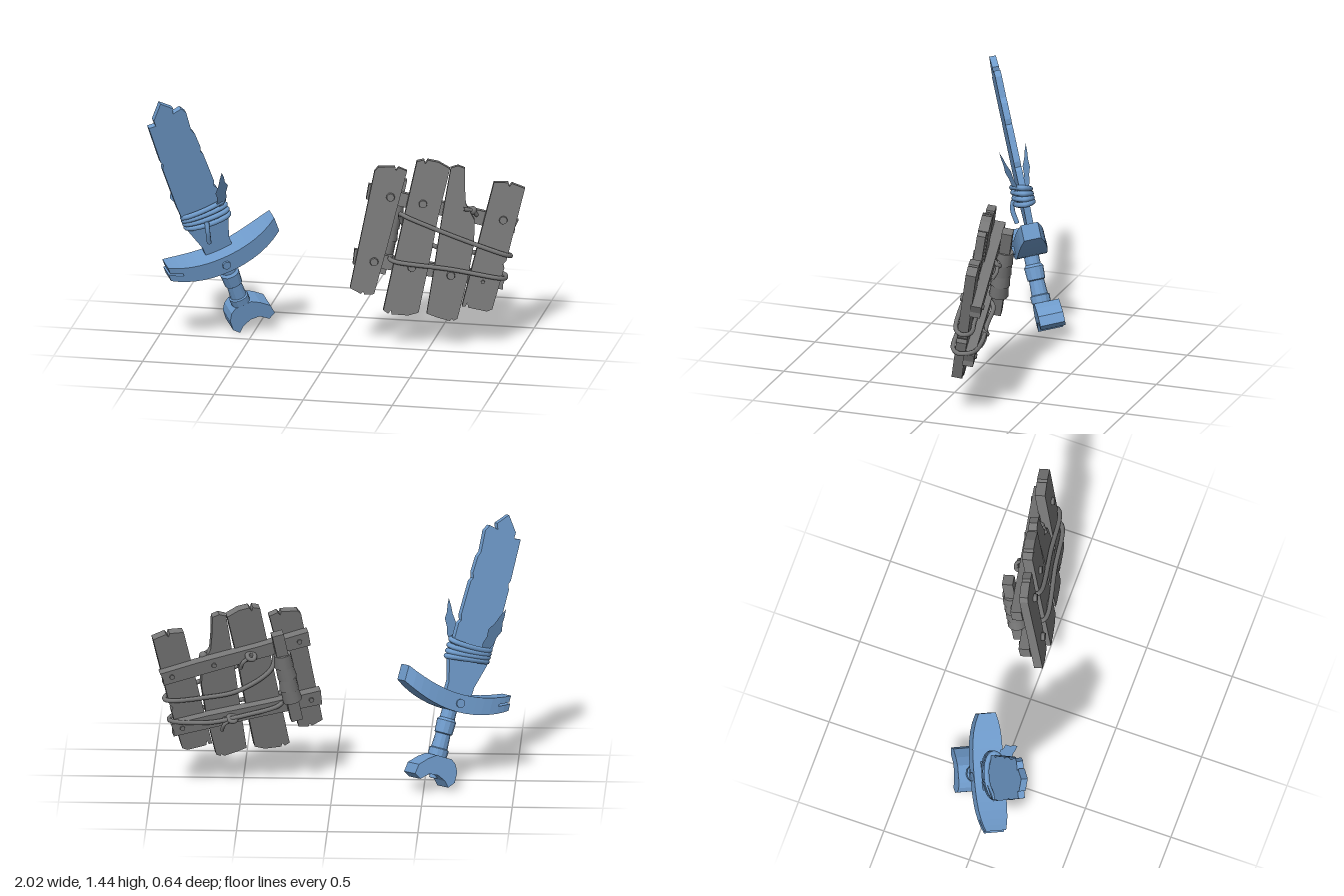
import * as THREE from 'three';

const blue = new THREE.MeshStandardMaterial({ color: 0x6f9bcb });
const blueThin = new THREE.MeshStandardMaterial({ color: 0x6f9bcb, side: THREE.DoubleSide });
const grey = new THREE.MeshStandardMaterial({ color: 0x777777 });

const V = (p) => new THREE.Vector3(...p);

// Group with its own axes: x across, y along, z out of the front face
function frame(name, origin, xAxis, yAxis) {
  const g = new THREE.Group();
  g.name = name;
  const y = V(yAxis).normalize();
  const z = V(xAxis).cross(y).normalize();
  const x = y.clone().cross(z);
  g.quaternion.setFromRotationMatrix(new THREE.Matrix4().makeBasis(x, y, z));
  g.position.set(...origin);
  return g;
}

function add(parent, name, geometry, material, pos = [0, 0, 0], rot = [0, 0, 0]) {
  const m = new THREE.Mesh(geometry, material);
  m.name = name;
  m.position.set(...pos);
  m.rotation.set(...rot);
  parent.add(m);
  return m;
}

// Flat outline extruded from z0 to z1
function slab(points, z0, z1) {
  const shape = new THREE.Shape(points.map(([x, y]) => new THREE.Vector2(x, y)));
  return new THREE.ExtrudeGeometry(shape, { depth: z1 - z0, bevelEnabled: false }).translate(0, 0, z0);
}

function rope(points, radius, closed = false) {
  const curve = new THREE.CatmullRomCurve3(points.map(V), closed, 'centripetal');
  return new THREE.TubeGeometry(curve, points.length * 8, radius, 8, closed);
}

// Flat-shaded geometry from positions and triangle corners
function faceted(pos, idx) {
  const g = new THREE.BufferGeometry();
  g.setAttribute('position', new THREE.Float32BufferAttribute(pos, 3));
  g.setIndex(idx);
  const flat = g.toNonIndexed();
  flat.computeVertexNormals();
  return flat;
}

// Torn leaf-like splinter: a strip from root to tip, spreading along the side direction
function splinter(root, tip, side, width) {
  const pos = [], idx = [], n = 6;
  const a = V(root), b = V(tip), s = V(side).normalize();
  for (let i = 0; i <= n; i++) {
    const t = i / n;
    const c = a.clone().lerp(b, t);
    const w = width * (0.4 + 0.6 * Math.sin(Math.PI * t)) * (1 - t ** 3) * (i % 2 ? 1 : 0.7);
    pos.push(...c.clone().addScaledVector(s, -w), ...c.addScaledVector(s, w));
    if (i) idx.push(2 * i - 2, 2 * i - 1, 2 * i, 2 * i - 1, 2 * i + 1, 2 * i);
  }
  return faceted(pos, idx);
}

// Curved bar with rectangular sections; low and high are fractions of the guard's height
function guardBar(x0, x1, low, high, n) {
  const pos = [], idx = [];
  for (let i = 0; i <= n; i++) {
    const x = x0 + ((x1 - x0) * i) / n;
    const base = -0.055 + 0.78 * x * x, h = 0.1 - 0.1 * x * x;
    const lo = base + low * h, hi = base + high * h;
    const d = 0.085 - 0.035 * (Math.abs(x) / 0.33) ** 4;
    pos.push(x, lo, d, x, lo, -d, x, hi, -d, x, hi, d);
    if (!i) continue;
    const p = 4 * i - 4, q = 4 * i;
    for (let k = 0; k < 4; k++) {
      const m = (k + 1) % 4;
      idx.push(p + k, p + m, q + m, p + k, q + m, q + k);
    }
  }
  const e = 4 * n;
  idx.push(0, 2, 1, 0, 3, 2, e, e + 1, e + 2, e, e + 2, e + 3);
  return faceted(pos, idx);
}

function buildSword() {
  const s = frame('sword', [-0.65, 0.465, -0.02], [0.849, 0.357, -0.39], [-0.247, 0.916, 0.314]);

  // Chipped wooden blade
  add(s, 'blade', slab([
    [-0.085, 0], [0.07, 0], [0.07, 0.1], [0.105, 0.22], [0.105, 0.42], [0.092, 0.44], [0.103, 0.47],
    [0.1, 0.66], [0.09, 0.68], [0.1, 0.71], [0.097, 0.8], [0.085, 0.83], [0.094, 0.95], [0.075, 0.985],
    [0.022, 0.975], [0.035, 1.006], [-0.022, 1.068], [-0.09, 0.985], [-0.09, 0.95], [-0.13, 0.955],
    [-0.137, 0.72], [-0.128, 0.7], [-0.14, 0.67], [-0.142, 0.4], [-0.132, 0.24], [-0.09, 0.1],
  ], -0.043, -0.006), blue);

  // Splinters torn from both faces
  add(s, 'frontSplinter', splinter([0.09, 0.31, 0.01], [0.15, 0.54, 0.065], [0.8, 0, -0.25], 0.05), blueThin);
  add(s, 'backSplinter', splinter([-0.085, 0.31, -0.06], [-0.12, 0.56, -0.11], [0.8, -0.1, -0.25], 0.06), blueThin);

  // Rope bound around the blade
  for (let i = 0; i < 4; i++) {
    const loop = [];
    for (let k = 0; k < 12; k++) {
      const t = (k / 12) * Math.PI * 2;
      loop.push([-0.008 + 0.124 * Math.cos(t), 0.243 + i * 0.027 - 0.014 * Math.cos(t + i * 0.5), -0.024 + 0.048 * Math.sin(t)]);
    }
    add(s, 'bladeRope', rope(loop, 0.015, true), blue);
  }
  add(s, 'ropeTail', rope([[-0.02, 0.27, 0.03], [-0.035, 0.22, 0.045], [-0.05, 0.14, 0.035]], 0.013), blue);

  // Curved guard, narrowing in depth towards its ends, one end split into two prongs
  add(s, 'guard', guardBar(-0.25, 0.335, 0, 1, 12), blue);
  add(s, 'guardLowerProng', guardBar(-0.325, -0.25, 0, 0.46, 2), blue);
  add(s, 'guardUpperProng', guardBar(-0.315, -0.25, 0.58, 1, 2), blue);
  for (const z of [0.085, -0.085])
    add(s, 'guardPeg', new THREE.CylinderGeometry(0.023, 0.025, 0.024, 10), blue, [-0.01, -0.005, z], [Math.PI / 2, 0, 0]);

  // Wrapped grip in stepped bands
  const grip = [[0.001, -0.36], [0.042, -0.36], [0.042, -0.32], [0.053, -0.315], [0.055, -0.275], [0.046, -0.27],
    [0.042, -0.19], [0.05, -0.185], [0.054, -0.115], [0.042, -0.1], [0.042, -0.03], [0.001, -0.03]];
  add(s, 'grip', new THREE.LatheGeometry(grip.map(([x, y]) => new THREE.Vector2(x, y)), 12).toNonIndexed(), blue)
    .geometry.computeVertexNormals();

  // Fishtail pommel
  add(s, 'pommel', slab([
    [-0.045, -0.315], [-0.075, -0.335], [-0.098, -0.375], [-0.1, -0.435], [-0.07, -0.47], [-0.04, -0.44], [0.01, -0.42],
    [0.065, -0.425], [0.11, -0.465], [0.15, -0.445], [0.142, -0.39], [0.095, -0.345], [0.05, -0.315],
  ], -0.095, 0.045), blue);
  add(s, 'pommelPeg', new THREE.CylinderGeometry(0.022, 0.022, 0.03, 10), blue, [0, -0.425, -0.02]);
  return s;
}

function buildShield() {
  const s = frame('shield', [0.547, 0.628, -0.107], [0.957, -0.205, -0.185], [0.17, 0.965, -0.19]);

  // Four uneven planks: outlines run counter-clockwise, with chipped ends
  const planks = [
    [[-0.425, -0.38], [-0.36, -0.4], [-0.35, -0.385], [-0.34, -0.4], [-0.288, -0.387], [-0.27, -0.1], [-0.262, 0.1],
      [-0.25, 0.322], [-0.3, 0.332], [-0.31, 0.312], [-0.32, 0.332], [-0.41, 0.312], [-0.425, 0.285], [-0.425, 0]],
    [[-0.22, -0.465], [-0.19, -0.477], [-0.18, -0.457], [-0.17, -0.477], [-0.08, -0.465], [-0.027, -0.438], [-0.026, -0.1],
      [-0.03, 0.1], [-0.021, 0.382], [-0.09, 0.405], [-0.15, 0.405], [-0.16, 0.382], [-0.17, 0.402], [-0.208, 0.385], [-0.215, 0]],
    [[0.018, -0.435], [0.08, -0.445], [0.15, -0.45], [0.16, -0.435], [0.17, -0.445], [0.19, -0.43], [0.2, -0.2], [0.194, 0],
      [0.17, 0.128], [0.105, 0.207], [0.08, 0.3], [0.06, 0.4], [0.02, 0.407], [-0.017, 0.387], [-0.008, 0.1], [0.008, -0.2]],
    [[0.2, -0.356], [0.22, -0.352], [0.225, -0.33], [0.235, -0.356], [0.34, -0.357], [0.367, -0.34], [0.385, -0.1], [0.373, -0.08],
      [0.388, -0.06], [0.406, 0.357], [0.33, 0.37], [0.32, 0.35], [0.31, 0.37], [0.232, 0.356], [0.22, 0.1]],
  ];
  planks.forEach((p, i) => add(s, 'plank', slab(p, -0.048 - 0.006 * (i % 2), 0.004 * (i % 2)), grey));

  // Two cross beams behind the planks
  const beams = [[0.145, -0.03], [-0.2, 0.03]];
  for (const [y, tilt] of beams) {
    add(s, 'crossBeam', slab([
      [-0.435, -0.042], [-0.1, -0.036], [0.405, -0.04], [0.4, -0.01], [0.41, 0.035], [0.2, 0.04], [-0.15, 0.036], [-0.44, 0.042],
    ], -0.108, -0.048), grey, [0, y, 0], [0, 0, tilt]);
    for (const x of [-0.38, -0.1, 0.11, 0.35])
      add(s, 'backNail', new THREE.CylinderGeometry(0.014, 0.014, 0.02, 8), grey, [x, y + x * tilt, -0.108], [Math.PI / 2, 0, 0]);
  }

  // Front nail heads: x, y, radius
  const nails = [[-0.31, 0.161, 0.025], [-0.325, -0.21, 0.025], [-0.127, 0.16, 0.025], [-0.115, -0.2, 0.025],
    [0.105, -0.2, 0.025], [0.325, 0.16, 0.025], [0.285, -0.2, 0.012]];
  for (const [x, y, r] of nails)
    add(s, 'nail', new THREE.CylinderGeometry(r * 0.85, r, 0.024, 10), grey, [x, y, 0.008], [Math.PI / 2, 0, 0]);

  // Hand grip tied over both beams, with a wrapped middle
  const grip = new THREE.Group();
  grip.name = 'handGrip';
  grip.position.set(-0.27, -0.015, -0.14);
  grip.rotation.z = -0.02;
  s.add(grip);
  add(grip, 'gripBar', new THREE.BoxGeometry(0.065, 0.54, 0.06), grey);
  for (let i = 0; i < 4; i++)
    add(grip, 'gripWrap', new THREE.CylinderGeometry(0.048, 0.054, 0.075, 12), grey, [0, -0.115 + i * 0.072, 0], [0, 0, i % 2 ? 0.06 : -0.05]);

  // Ropes looped around the planks
  const loops = [
    [[-0.232, 0.08, 0.0], [-0.2, 0.072, 0.016], [0.1, 0.015, 0.016], [0.375, -0.025, 0.016], [0.408, -0.03, -0.02],
      [0.385, -0.03, -0.062], [0.2, -0.06, -0.066], [0, -0.07, -0.066], [-0.2, 0.01, -0.066], [-0.235, 0.07, -0.035]],
    [[-0.236, -0.182, 0.0], [-0.2, -0.185, 0.016], [0.1, -0.165, 0.016], [0.365, -0.16, 0.016], [0.403, -0.158, -0.02],
      [0.39, -0.145, -0.09], [0.2, -0.19, -0.12], [0, -0.2, -0.12], [-0.2, -0.19, -0.12], [-0.24, -0.18, -0.045]],
  ];
  for (const p of loops) add(s, 'plankRope', rope(p, 0.013, true), grey);

  // Knots with loose ends on the beams
  for (const [x, y] of [[0.07, -0.2], [-0.1, 0.145]]) {
    add(s, 'knot', new THREE.TorusGeometry(0.022, 0.013, 8, 16), grey, [x, y, -0.118], [0.9, 0.3, 0]);
    add(s, 'ropeEnd', rope([[x, y, -0.118], [x + 0.05, y - 0.02, -0.128], [x + 0.07, y - 0.06, -0.112]], 0.011), grey);
  }

  // Peg tied to the upper beam, seen through the broken plank
  add(s, 'beamKnot', new THREE.SphereGeometry(0.024, 10, 8), grey, [0.15, 0.175, -0.03]);
  add(s, 'beamKnotEnd', rope([[0.18, 0.15, -0.045], [0.15, 0.175, -0.02], [0.095, 0.178, 0.012]], 0.011), grey);
  return s;
}

export function createModel() {
  const model = new THREE.Group();
  model.name = 'woodenSwordAndShield';
  model.add(buildSword(), buildShield());
  return model;
}
